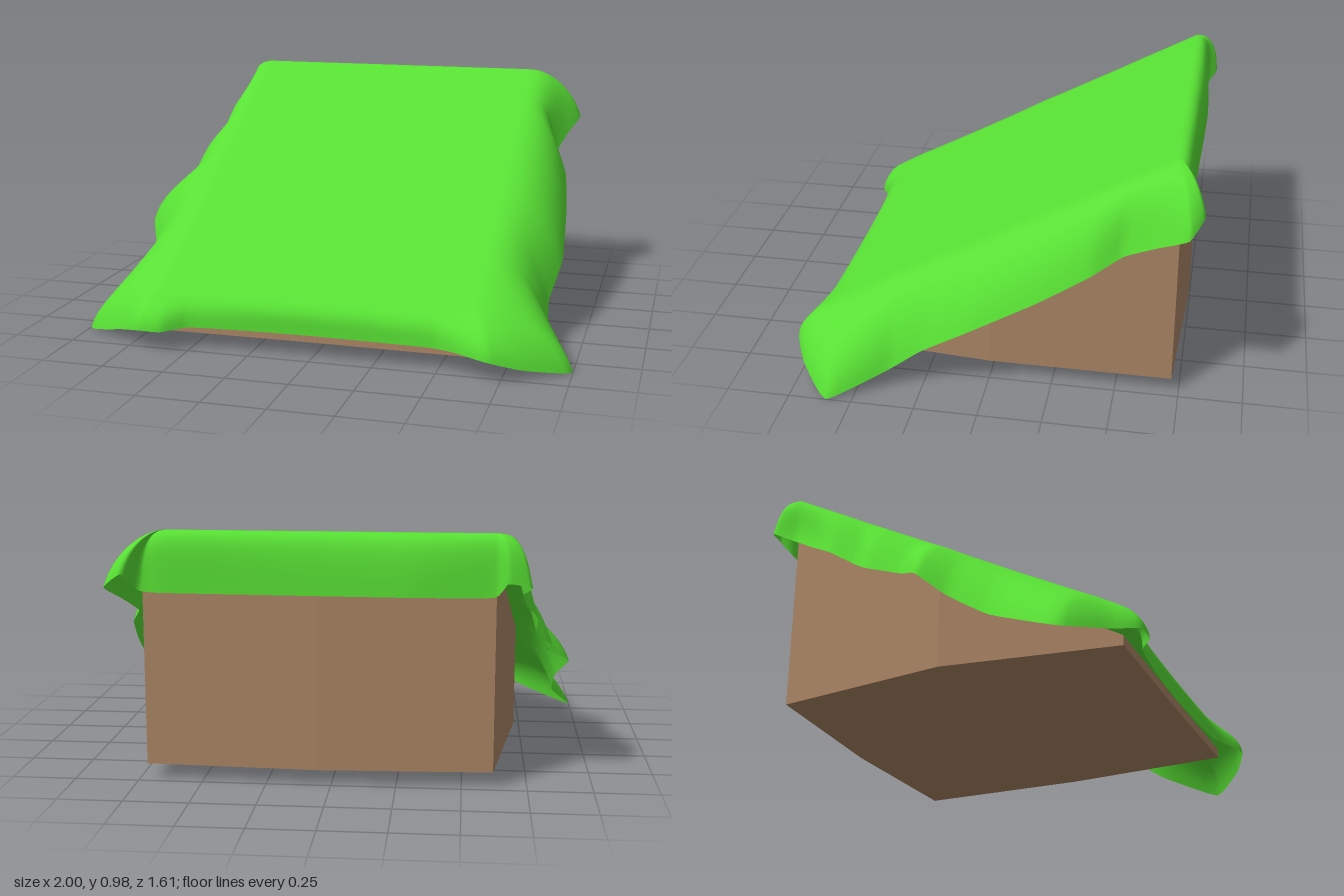
import * as THREE from 'three';

const SLOPE = 0.55;
const deckY = z => 0.595 - SLOPE * z;

// Corners and fold tips along the hem, going round the cloth from the back (+x) corner
const HEM = [
  [0.78, 0.82, -0.81], [0.86, 0.76, -0.76], [0.82, 0.7, -0.65], [0.785, 0.63, -0.52],
  [0.84, 0.56, -0.4], [0.87, 0.44, -0.2], [0.89, 0.29, 0.07], [0.86, 0.17, 0.25],
  [0.88, 0.08, 0.38], [1.0, 0.0, 0.6], [0.83, 0.04, 0.74], [0.7, 0.08, 0.8],
  [0.57, 0.09, 0.75], [0.48, 0.09, 0.72], [0.25, 0.09, 0.71], [0, 0.09, 0.705],
  [-0.25, 0.09, 0.71], [-0.5, 0.09, 0.73], [-0.6, 0.08, 0.79], [-0.7, 0.08, 0.79],
  [-0.8, 0.05, 0.71], [-1.0, 0.0, 0.58], [-0.9, 0.14, 0.29], [-0.9, 0.25, 0.12],
  [-0.95, 0.34, 0.01], [-0.85, 0.41, -0.1], [-0.86, 0.46, -0.25], [-0.79, 0.53, -0.34],
  [-0.79, 0.61, -0.46], [-0.74, 0.68, -0.57], [-0.72, 0.74, -0.67], [-0.75, 0.78, -0.76],
  [-0.66, 0.8, -0.79], [-0.61, 0.74, -0.745], [-0.3, 0.74, -0.77], [0, 0.74, -0.765],
  [0.35, 0.74, -0.755], [0.66, 0.74, -0.745], [0.73, 0.75, -0.75],
].map(p => new THREE.Vector3(...p));

// Wedge block with slightly bowed sides
function createWedge() {
  const plan = [[0.72, -0.72], [0.05, -0.75], [-0.62, -0.72], [-0.72, 0],
    [-0.63, 0.7], [0, 0.695], [0.66, 0.7], [0.72, 0]];
  const shape = new THREE.Shape(plan.map(([x, z]) => new THREE.Vector2(x, -z)));
  const geo = new THREE.ExtrudeGeometry(shape, { depth: 1, bevelEnabled: false });
  geo.rotateX(-Math.PI / 2);
  const pos = geo.attributes.position;
  for (let i = 0; i < pos.count; i++) {
    pos.setY(i, pos.getY(i) > 0.5 ? 0.485 - SLOPE * pos.getZ(i) : 0.06);
  }
  geo.computeVertexNormals();
  const mesh = new THREE.Mesh(geo, new THREE.MeshStandardMaterial({ color: 0xaa8464 }));
  mesh.name = 'wedgeBlock';
  return mesh;
}

// Draped cloth: flat sloping deck, rounded shoulder, then a skirt down to the hem
function createCloth() {
  const hem = new THREE.CatmullRomCurve3(HEM, true, 'catmullrom', 0.2);
  const n = HEM.length * 4, deckRings = 6, skirtRings = 12;
  const rows = deckRings + skirtRings + 1;
  const verts = [], index = [];
  const columns = [];
  for (let j = 0; j < n; j++) {
    const end = hem.getPoint(j / n);
    const inner = new THREE.Vector3(
      THREE.MathUtils.clamp(end.x, -0.62, 0.62), 0,
      THREE.MathUtils.clamp(end.z, -0.69, 0.6));
    inner.y = deckY(inner.z);
    const out = end.clone().sub(inner).setY(0).normalize();
    const front = Math.max(0, out.z), back = Math.max(0, -out.z);
    // Shoulder follows the slope outward, then the skirt falls to the hem
    const shoulder = inner.clone().addScaledVector(out, 0.13 - 0.05 * back);
    shoulder.y += SLOPE * (0.03 * back - 0.12 * front);
    const fall = end.clone().addScaledVector(out, -0.04 * (1 - back) + 0.04 * front);
    fall.y += (inner.y - end.y) * (0.5 - 0.1 * front);
    columns.push({ inner, skirt: new THREE.CubicBezierCurve3(inner, shoulder, fall, end) });
  }
  for (let r = 0; r < rows; r++) {
    for (const { inner, skirt } of columns) {
      let p;
      if (r < deckRings) {
        const s = r / deckRings;
        p = new THREE.Vector3(inner.x * s, 0, inner.z * s);
        p.y = deckY(p.z);
      } else p = skirt.getPoint((r - deckRings) / skirtRings);
      verts.push(p.x, p.y, p.z);
    }
  }
  for (let r = 0; r < rows - 1; r++) {
    for (let j = 0; j < n; j++) {
      const k = (j + 1) % n;
      const a = r * n + j, b = r * n + k, c = a + n, d = b + n;
      index.push(a, b, d, a, d, c);
    }
  }
  const geo = new THREE.BufferGeometry();
  geo.setAttribute('position', new THREE.Float32BufferAttribute(verts, 3));
  geo.setIndex(index);
  geo.computeVertexNormals();
  const mesh = new THREE.Mesh(geo,
    new THREE.MeshStandardMaterial({ color: 0x58e034, side: THREE.DoubleSide }));
  mesh.name = 'drapedCloth';
  return mesh;
}

export function createModel() {
  const group = new THREE.Group();
  group.name = 'clothOverWedge';
  group.add(createWedge(), createCloth());
  return group;
}
